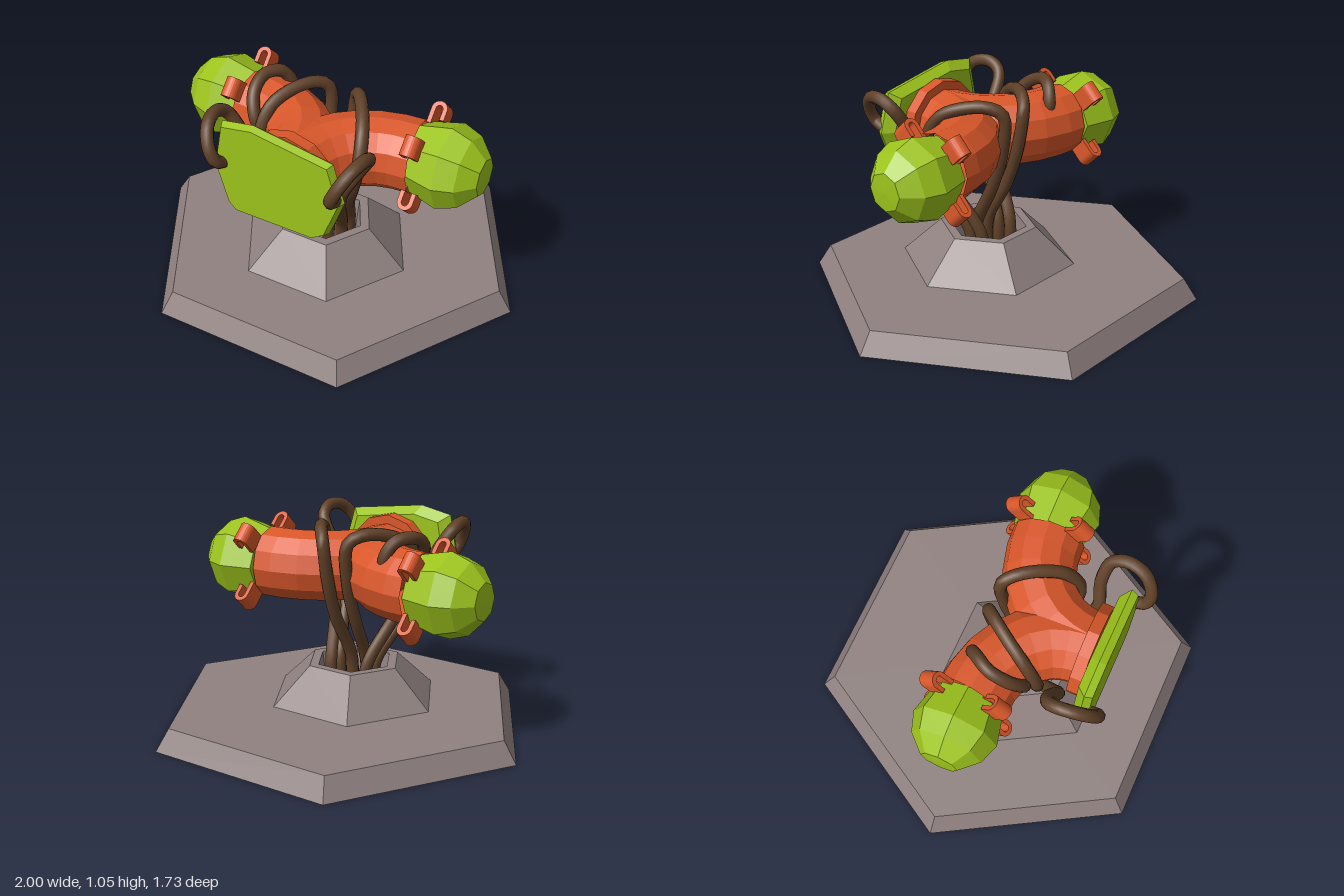
import * as THREE from 'three';

const mat = (color, flatShading = true) =>
  new THREE.MeshStandardMaterial({ color, flatShading, side: THREE.DoubleSide });
const stone = mat(0x8f8180), orange = mat(0xd9572a), green = mat(0x9cc31c);
const brown = mat(0x5f4028, false);
const AXIS_Y = 0.77; // height of the pipe centre line

const v2 = (pts) => pts.map(([x, y]) => new THREE.Vector2(x, y));
const curve = (pts) => new THREE.CatmullRomCurve3(pts.map((p) => new THREE.Vector3(...p)));
const flip = (pts) => pts.map(([x, y, z]) => [-x, y, z]);

function add(parent, name, geometry, material) {
  const mesh = new THREE.Mesh(geometry, material);
  mesh.name = name;
  parent.add(mesh);
  return mesh;
}

// Skin between stacked closed loops, with a fan closing each end
function loft(rings) {
  const n = rings[0].length, pos = rings.flat(2), idx = [];
  for (let r = 0; r < rings.length - 1; r++)
    for (let i = 0; i < n; i++) {
      const a = r * n + i, b = r * n + (i + 1) % n;
      idx.push(a, b, b + n, a, b + n, a + n);
    }
  const last = (rings.length - 1) * n;
  for (let i = 1; i < n - 1; i++) idx.push(0, i + 1, i, last, last + i, last + i + 1);
  const g = new THREE.BufferGeometry();
  g.setAttribute('position', new THREE.Float32BufferAttribute(pos, 3));
  g.setIndex(idx);
  g.computeVertexNormals();
  return g;
}

// U-shaped hook, bent over the joint between pipe and end cap
function clipGeometry() {
  const s = new THREE.Shape();
  s.moveTo(0.45, 0.16);
  s.lineTo(0.45, 0.235);
  s.absarc(0.49, 0.235, 0.04, Math.PI, 0, true);
  s.lineTo(0.53, 0.185);
  s.lineTo(0.508, 0.185);
  s.lineTo(0.508, 0.235);
  s.absarc(0.49, 0.235, 0.018, 0, Math.PI, false);
  s.lineTo(0.472, 0.16);
  return new THREE.ExtrudeGeometry(s, { depth: 0.1, bevelEnabled: false, curveSegments: 6 })
    .translate(0, 0, -0.05);
}

// Faceted cap with four clips, pointing along +x
function armEnd() {
  const g = new THREE.Group();
  const cap = new THREE.LatheGeometry(
    v2([[0, 0.45], [0.175, 0.455], [0.215, 0.62], [0.18, 0.72], [0.095, 0.8], [0, 0.805]]), 8);
  cap.rotateZ(-Math.PI / 2);
  add(g, 'endCap', cap, green);
  const clip = clipGeometry();
  for (let k = 0; k < 4; k++)
    add(g, 'clip', clip, orange).rotation.x = Math.PI / 4 + k * Math.PI / 2;
  g.position.y = AXIS_Y;
  return g;
}

export function createModel() {
  const model = new THREE.Group();
  model.name = 'pipeMonument';

  // Hexagonal base and hollow pedestal
  const base = new THREE.CylinderGeometry(0.93, 1, 0.11, 6).rotateY(Math.PI / 6);
  add(model, 'base', base.translate(0, 0.055, 0), stone);
  const pedestal = new THREE.LatheGeometry(
    v2([[0.45, 0.11], [0.25, 0.3], [0.2, 0.3], [0.175, 0.115], [0, 0.115]]), 6);
  add(model, 'pedestal', pedestal.rotateY(Math.PI / 6).translate(0, 0, 0.1), stone);

  // Two bent pipes merging towards the front
  const arm = [[0.46, AXIS_Y, 0.012], [0.31, AXIS_Y, 0.03], [0.14, AXIS_Y, 0.12],
    [0.035, AXIS_Y, 0.26], [0, AXIS_Y, 0.42]];
  for (const [side, path] of [['left', arm], ['right', flip(arm)]]) {
    add(model, side + 'Pipe', new THREE.TubeGeometry(curve(path), 7, 0.183, 12), orange);
    const end = armEnd();
    end.name = side + 'ArmEnd';
    if (side === 'right') end.rotation.y = Math.PI;
    model.add(end);
  }

  // Flange behind the shield
  const flange = new THREE.CylinderGeometry(0.235, 0.235, 0.06, 12).rotateX(Math.PI / 2);
  add(model, 'flange', flange.translate(0, 0.765, 0.43), orange);

  // Irregular bevelled shield, outline counter-clockwise seen from the front
  const outline = [[-0.355, 0.785], [-0.29, 0.57], [-0.25, 0.53], [0.19, 0.53], [0.26, 0.575],
    [0.34, 0.785], [0.28, 0.985], [-0.14, 1.05], [-0.31, 1.02]];
  const ring = (k, z) => outline.map(([x, y]) => [x * k, 0.78 + (y - 0.78) * k, z]);
  add(model, 'shield', loft([ring(0.84, 0.465), ring(1, 0.51), ring(0.95, 0.547)]), green);

  // Cables: shield loops, arm wraps, and one short arch
  const shieldCable = [[0.3, 0.8, 0.53], [0.305, 0.83, 0.585], [0.335, 0.9, 0.595],
    [0.375, 0.98, 0.54], [0.395, 1.0, 0.45], [0.385, 0.96, 0.37], [0.32, 0.85, 0.345],
    [0.25, 0.72, 0.37], [0.21, 0.6, 0.33], [0.165, 0.47, 0.24], [0.11, 0.3, 0.13],
    [0.1, 0.12, 0.12]];
  const wrapCable = [[0.1, 0.12, 0.04], [0.11, 0.3, 0.05], [0.17, 0.5, 0.17],
    [0.23, 0.64, 0.245], [0.27, 0.8, 0.26], [0.25, 0.93, 0.19], [0.19, 0.985, 0.08],
    [0.12, 0.99, -0.02], [0.075, 0.95, -0.07], [0.06, 0.75, -0.05], [0.06, 0.54, 0.02],
    [0.045, 0.3, 0.14], [0.045, 0.12, 0.15]];
  const archCable = [[-0.28, 0.8, -0.05], [-0.285, 0.92, -0.06], [-0.32, 0.99, -0.02],
    [-0.365, 1.0, 0.06], [-0.365, 0.95, 0.16], [-0.32, 0.84, 0.22], [-0.29, 0.74, 0.18]];
  const cable = (name, pts) =>
    add(model, name, new THREE.TubeGeometry(curve(pts), 56, 0.032, 10), brown);
  cable('leftShieldCable', shieldCable);
  cable('rightShieldCable', flip(shieldCable));
  cable('leftWrapCable', wrapCable);
  cable('rightWrapCable', flip(wrapCable));
  cable('archCable', archCable);

  return model;
}
